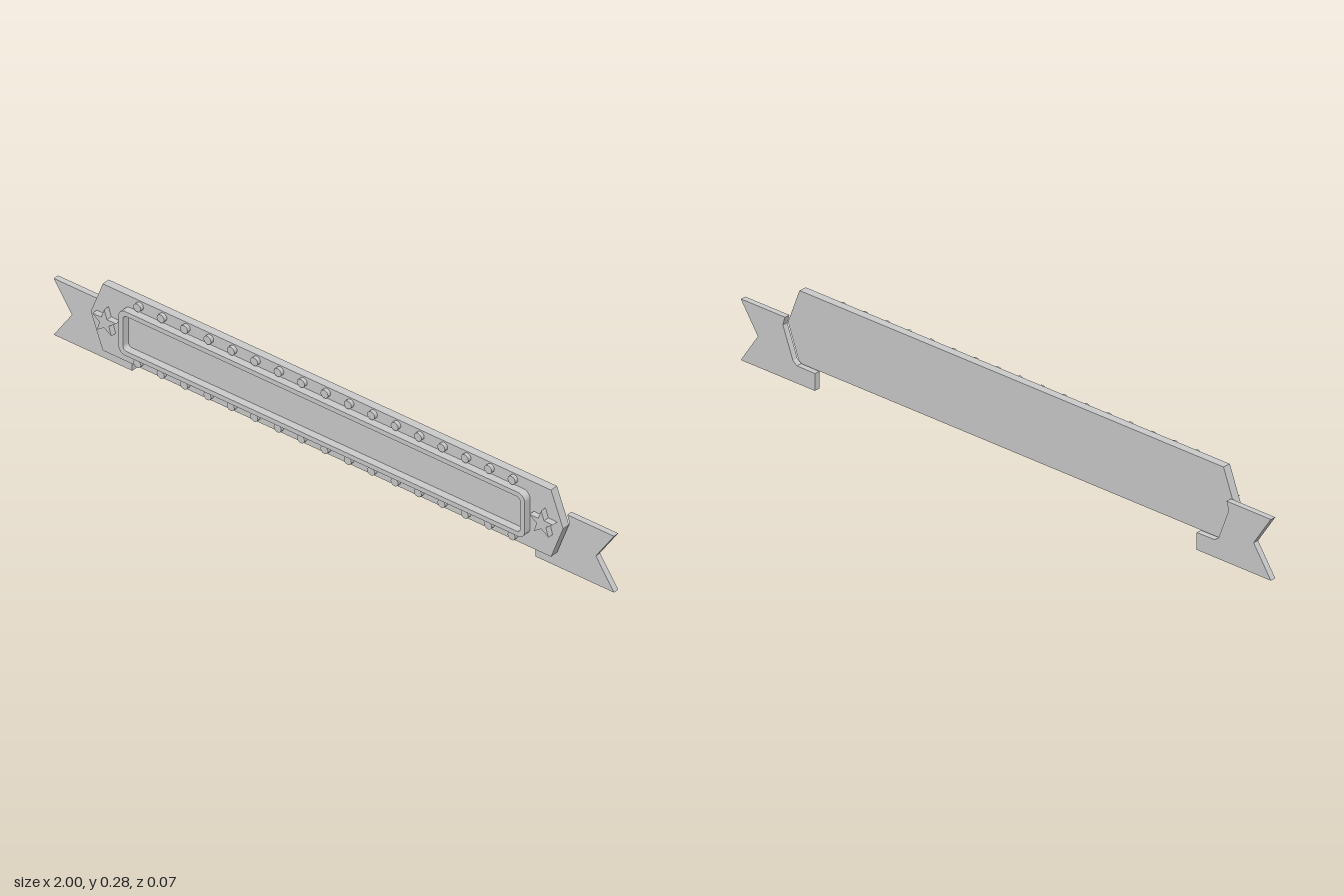
import * as THREE from 'three';

const grey = new THREE.MeshStandardMaterial({ color: 0xcacaca });
grey.name = 'light grey';

// Closed shape from [x, y] points
const outline = (pts) => new THREE.Shape(pts.map(([x, y]) => new THREE.Vector2(x, y)));

// Rounded rectangle centred on (0, cy)
function roundedRect(path, w, h, r, cy) {
  const x = w / 2, t = cy + h / 2, b = cy - h / 2;
  path.moveTo(-x + r, b);
  path.lineTo(x - r, b).absarc(x - r, b + r, r, -Math.PI / 2, 0);
  path.lineTo(x, t - r).absarc(x - r, t - r, r, 0, Math.PI / 2);
  path.lineTo(-x + r, t).absarc(-x + r, t - r, r, Math.PI / 2, Math.PI);
  path.lineTo(-x, b + r).absarc(-x + r, b + r, r, Math.PI, Math.PI * 1.5);
  return path;
}

export function createModel() {
  const group = new THREE.Group();
  const add = (name, geometry) => {
    const mesh = new THREE.Mesh(geometry, grey);
    mesh.name = name;
    group.add(mesh);
    return mesh;
  };
  const slab = (name, shape, z0, z1) => {
    const geo = new THREE.ExtrudeGeometry(shape, { depth: z1 - z0, bevelEnabled: false, curveSegments: 6 });
    return add(name, geo.translate(0, 0, z0));
  };

  const midY = 0.1645, front = 0.013;

  // Main plate with pointed ends
  slab('plate', outline([
    [-0.8, 0.051], [0.8, 0.051], [0.843, midY], [0.8, 0.277], [-0.8, 0.277], [-0.843, midY],
  ]), -0.013, front);

  // Raised border around the recessed centre
  const border = roundedRect(new THREE.Shape(), 1.45, 0.149, 0.024, midY);
  border.holes.push(roundedRect(new THREE.Path(), 1.418, 0.118, 0.014, midY));
  slab('border', border, front, 0.037);

  for (const side of [1, -1]) {
    const label = side > 0 ? 'left' : 'right';

    // Swallow-tailed ribbon end, cut away behind the plate
    slab(label + 'Tail', outline([
      [0.72, 0], [1, 0], [0.935, 0.096], [1, 0.191], [0.833, 0.191], [0.841, midY],
      [0.803, 0.066], [0.788, 0.055], [0.72, 0.054],
    ].map(([x, y]) => [x * side, y])), -0.0365, -0.018);

    // Five-pointed star
    const star = [];
    for (let i = 0; i < 10; i++) {
      const a = Math.PI / 2 + i * Math.PI / 5, r = i % 2 ? 0.0175 : 0.044;
      star.push([side * 0.78 + r * Math.cos(a), midY + r * Math.sin(a)]);
    }
    slab(label + 'Star', outline(star), front, 0.032);
  }

  // Two rows of studs
  const stud = new THREE.CylinderGeometry(0.0135, 0.0135, 0.012, 12).rotateX(Math.PI / 2);
  for (const y of [0.07, 0.259]) {
    for (let i = 0; i < 17; i++) add('stud', stud).position.set((i - 8) * 0.0835, y, front + 0.006);
  }
  return group;
}
